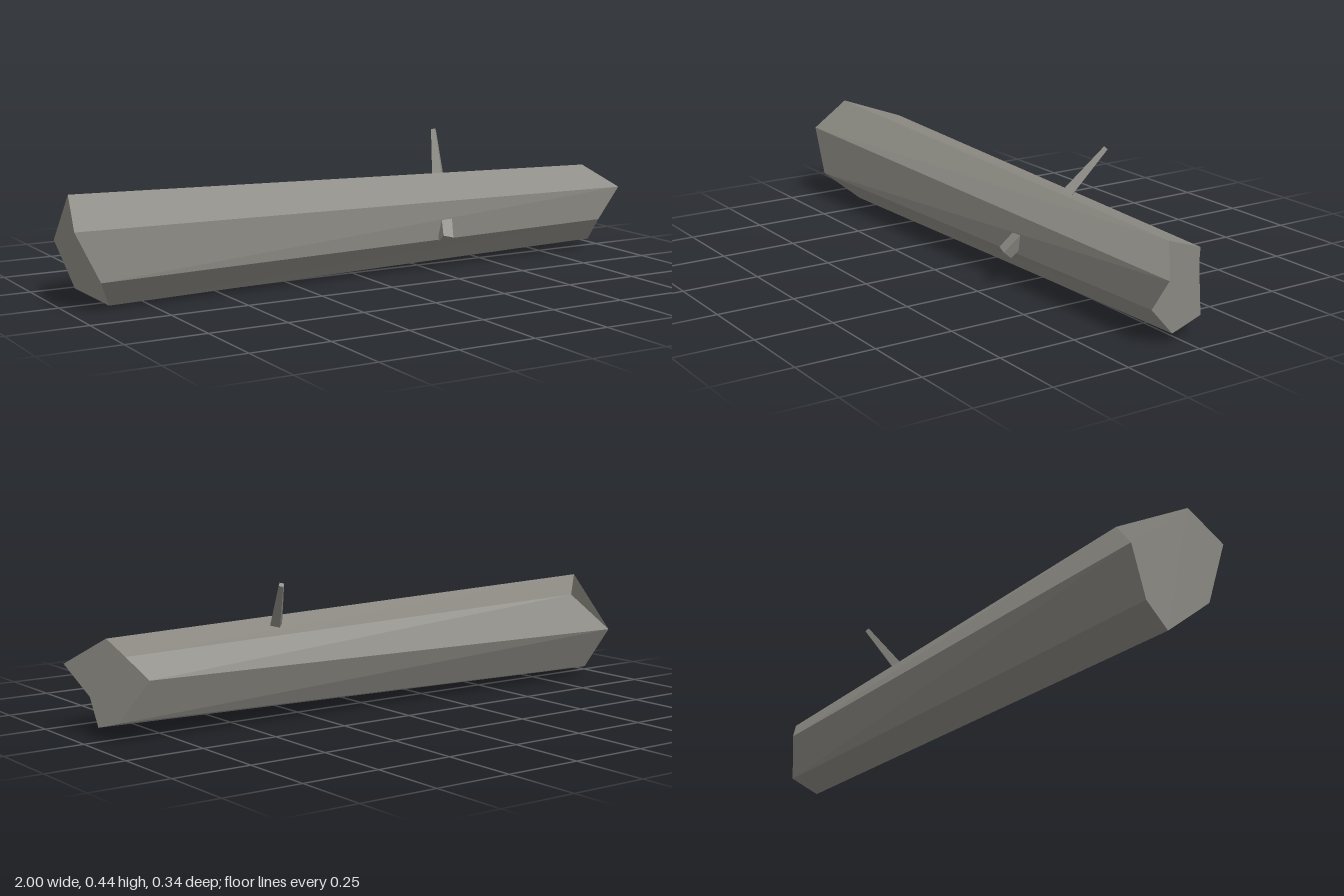
import * as THREE from 'three';

// Seven jagged corners [x, y, z] of each end, counter-clockwise seen from +x
const THIN_END = [
  [0.90, 0.295, 0.038], [1.00, 0.22, 0.115], [0.92, 0.112, 0.11], [0.93, 0.032, 0.042],
  [0.92, 0.062, -0.068], [0.847, 0.188, -0.12], [0.90, 0.257, -0.077],
];
const THICK_END = [
  [-0.975, 0.342, 0.035], [-1.00, 0.25, 0.145], [-0.925, 0.095, 0.152], [-0.86, 0.0, 0.045],
  [-0.915, 0.033, -0.09], [-0.948, 0.172, -0.17], [-0.826, 0.297, -0.107],
];

// Faceted geometry from a list of corner points
function facets(points) {
  const geo = new THREE.BufferGeometry();
  geo.setAttribute('position', new THREE.Float32BufferAttribute(points.flat(), 3));
  geo.computeVertexNormals();
  return geo;
}

// Tapered bark between the two ends
function barkGeometry() {
  const points = [];
  THICK_END.forEach((a, i) => {
    const j = (i + 1) % THICK_END.length;
    const b = THICK_END[j], c = THIN_END[i], d = THIN_END[j];
    points.push(a, b, c, b, d, c);
  });
  return facets(points);
}

// Broken end, shaded as one facet facing along x
function capGeometry(ring, side) {
  const points = [];
  for (let i = 1; i < ring.length - 1; i++) {
    points.push(...(side > 0 ? [ring[0], ring[i], ring[i + 1]] : [ring[0], ring[i + 1], ring[i]]));
  }
  const geo = facets(points);
  const normal = new THREE.Vector3();
  const a = new THREE.Vector3(), b = new THREE.Vector3();
  ring.forEach((p, i) => {
    normal.add(a.fromArray(p).cross(b.fromArray(ring[(i + 1) % ring.length])));
  });
  normal.normalize().multiplyScalar(side);
  const normals = geo.attributes.normal;
  for (let i = 0; i < normals.count; i++) normals.setXYZ(i, normal.x, normal.y, normal.z);
  return geo;
}

// Four-sided tapered branch from one point to another
function branchGeometry(from, to, baseRadius, tipRadius) {
  const start = new THREE.Vector3(...from), end = new THREE.Vector3(...to);
  const dir = end.clone().sub(start);
  const geo = new THREE.CylinderGeometry(tipRadius, baseRadius, dir.length(), 4).toNonIndexed();
  geo.applyQuaternion(new THREE.Quaternion().setFromUnitVectors(
    new THREE.Vector3(0, 1, 0), dir.normalize()));
  const mid = start.add(end).multiplyScalar(0.5);
  geo.translate(mid.x, mid.y, mid.z);
  geo.computeVertexNormals();
  return geo;
}

export function createModel() {
  const group = new THREE.Group();
  group.name = 'fallenLog';
  const wood = new THREE.MeshStandardMaterial({ color: 0x8a8881 });
  wood.name = 'weathered grey wood';

  const add = (name, geo) => {
    const mesh = new THREE.Mesh(geo, wood);
    mesh.name = name;
    group.add(mesh);
  };

  add('trunk', barkGeometry());
  add('thinEnd', capGeometry(THIN_END, 1));
  add('thickEnd', capGeometry(THICK_END, -1));
  add('longBranch', branchGeometry([0.335, 0.275, -0.005], [0.392, 0.43, -0.125], 0.024, 0.010));
  add('brokenStub', branchGeometry([0.29, 0.178, 0.098], [0.262, 0.111, 0.156], 0.027, 0.025));
  return group;
}
